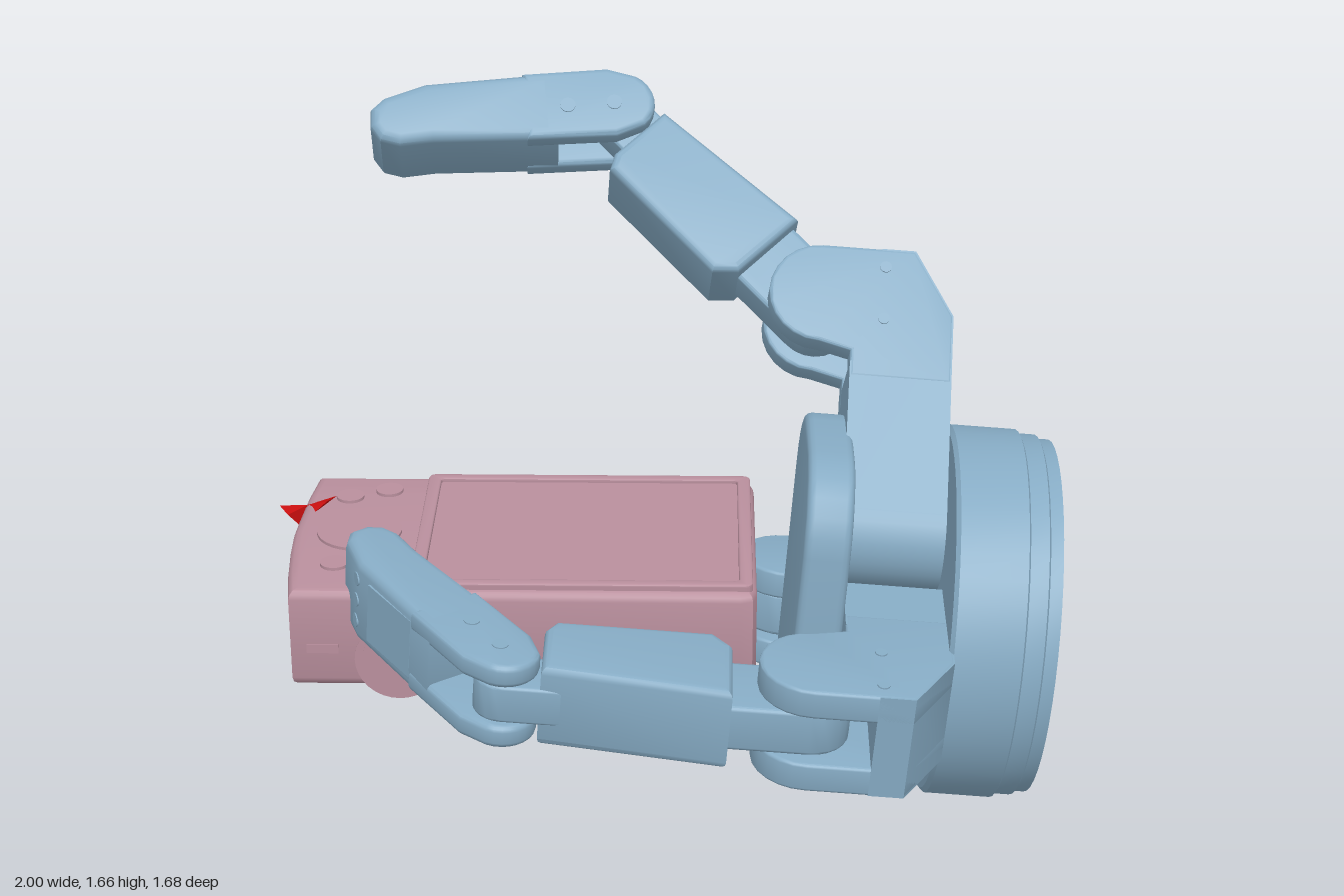
import * as THREE from 'three';
import { toCreasedNormals } from 'three/addons/utils/BufferGeometryUtils.js';
import { ConvexGeometry } from 'three/addons/geometries/ConvexGeometry.js';

const blue = new THREE.MeshStandardMaterial({ color: 0x86abc4 });
const pink = new THREE.MeshStandardMaterial({ color: 0xb98f9d });
const red = new THREE.MeshStandardMaterial({ color: 0xd01010 });
const rad = THREE.MathUtils.degToRad;

function add(parent, name, geometry, material, x = 0, y = 0, z = 0) {
  const mesh = new THREE.Mesh(geometry, material);
  mesh.name = name;
  mesh.position.set(x, y, z);
  parent.add(mesh);
  return mesh;
}

function group(parent, name, x = 0, y = 0, z = 0) {
  const g = new THREE.Group();
  g.name = name;
  g.position.set(x, y, z);
  parent.add(g);
  return g;
}

// Outline in xy, extruded to a total width centred on z, with rounded edges
function slab(points, width, bevel, hole) {
  const shape = new THREE.Shape(points.map(([x, y]) => new THREE.Vector2(x, y)));
  if (hole) shape.holes.push(new THREE.Path(hole.map(([x, y]) => new THREE.Vector2(x, y))));
  const geo = new THREE.ExtrudeGeometry(shape, {
    depth: width - 2 * bevel, bevelEnabled: bevel > 0, bevelThickness: bevel,
    bevelSize: bevel, bevelOffset: -bevel, bevelSegments: 3,
  });
  geo.translate(0, 0, -width / 2 + bevel);
  return toCreasedNormals(geo, 0.6);
}

function arc(cx, cy, r, from, to, n = 12) {
  return Array.from({ length: n + 1 }, (_, i) => {
    const a = rad(from + (to - from) * i / n);
    return [cx + r * Math.cos(a), cy + r * Math.sin(a)];
  });
}

function roundedRect(x0, y0, x1, y1, r) {
  return [...arc(x1 - r, y0 + r, r, -90, 0, 6), ...arc(x1 - r, y1 - r, r, 0, 90, 6),
    ...arc(x0 + r, y1 - r, r, 90, 180, 6), ...arc(x0 + r, y0 + r, r, 180, 270, 6)];
}

// Bar with round ends from x = -len to x = 0
const capsule = (len, r) => [...arc(0, 0, r, -90, 90), ...arc(-len, 0, r, 90, 270)];

// One finger: y runs outward from the palm axis, -x points forward, z is its width
function addFinger(hand, name, { x, y, z, turn, bend, pivot }) {
  const finger = group(hand, name, x, y, z);
  finger.rotation.x = rad(turn);

  // Base: leg, forked knuckle housing and rounded or square root
  const start = pivot ? -0.05 : 0.15;
  if (pivot) {
    const root = add(finger, 'basePivot', new THREE.CylinderGeometry(0.14, 0.14, 0.255, 32), blue, 0.2075, start, 0);
    root.rotation.z = Math.PI / 2;
    const plug = add(finger, 'basePlug', new THREE.CylinderGeometry(0.065, 0.065, 0.008, 24), blue, 0.285, 0.565, 0);
    plug.rotation.z = -rad(59.5);
    plug.scale.z = 0.55;
  }
  add(finger, 'baseCore', slab([[0.08, start], [0.335, start], [0.335, 0.48], [0.235, 0.65],
    [0.15, 0.65], [0.15, 0.39], [0.08, 0.34]], 0.279, 0), blue);
  const cheek = [[0.08, 0.3], [0.335, 0.3], [0.335, 0.48], [0.235, 0.65], ...arc(0, 0.52, 0.13, 90, 270), [0.08, 0.37]];
  for (const s of [-1, 1]) {
    add(finger, 'baseCheek', slab(cheek, 0.075, 0.008), blue, 0, 0, s * 0.103);
    for (const [sx, sy] of [[0.16, 0.6], [0.16, 0.46]])
      add(finger, 'baseScrew', new THREE.CylinderGeometry(0.015, 0.015, 0.006, 12), blue, sx, sy, s * 0.141).rotation.x = Math.PI / 2;
  }

  // Middle link with a narrow tongue at each joint
  const middle = group(finger, 'middleLink', 0, 0.52, 0);
  middle.rotation.z = -rad(bend);
  add(middle, 'middleBody', slab([[-0.19, -0.1], [-0.235, -0.15], [-0.615, -0.15], [-0.64, -0.11],
    [-0.64, 0.065], [-0.19, 0.11]], 0.22, 0.02), blue);
  add(middle, 'knuckleTongue', slab(capsule(0.25, 0.1), 0.12, 0.01), blue);
  add(middle, 'tipTongue', slab(capsule(0.15, 0.07), 0.1, 0.008), blue, -0.58, 0, 0);

  // Fingertip with fork, tapered body, back plate and screws
  const tip = group(middle, 'fingertip', -0.73, 0, 0);
  tip.rotation.z = rad(52);
  add(tip, 'fingertipBody', slab([[-0.17, -0.085], [-0.49, -0.07], [-0.575, -0.075], [-0.625, -0.058],
    [-0.648, -0.02], [-0.645, 0.03], [-0.61, 0.06], [-0.5, 0.092], [-0.17, 0.1]], 0.23, 0.025), blue);
  const fork = [[-0.25, -0.085], [-0.02, -0.09], ...arc(0, 0, 0.085, -50, 60, 8), [-0.03, 0.1], [-0.25, 0.1]];
  for (const s of [-1, 1]) {
    add(tip, 'fingertipCheek', slab(fork, 0.06, 0.015), blue, 0, 0, s * 0.085);
    for (const f of [0.02, 0.14])
      add(tip, 'fingertipSideScrew', new THREE.CylinderGeometry(0.02, 0.02, 0.008, 14), blue, -f, 0, s * 0.114).rotation.x = Math.PI / 2;
  }
  add(tip, 'fingertipBackPlate', new THREE.BoxGeometry(0.19, 0.01, 0.16), blue, -0.35, 0.094, 0);
  for (const w of [-0.06, 0, 0.06])
    add(tip, 'fingertipScrew', new THREE.CylinderGeometry(0.018, 0.018, 0.012, 12), blue, -0.51, 0.086, w).rotation.z = 0.27;
}

function addHand(root) {
  const hand = group(root, 'gripper', 0.38, 0.5, 0.18);
  hand.rotation.z = -0.075;

  // Stepped wrist disk
  const profile = [[0, 0.325], [0.455, 0.325], [0.466, 0.335], [0.466, 0.5], [0.456, 0.505], [0.456, 0.55],
    [0.446, 0.555], [0.446, 0.586], [0, 0.586]].map(([r, h]) => new THREE.Vector2(r, h));
  const disk = add(hand, 'wristDisk', toCreasedNormals(new THREE.LatheGeometry(profile, 48), 0.4), blue);
  disk.rotation.z = -Math.PI / 2;

  // Rounded palm plate and the hub block behind it
  const palm = add(hand, 'palmPlate', slab(roundedRect(-0.29, -0.46, 0.29, 0.46, 0.2), 0.115, 0.02), blue, 0.022, 0, 0.01);
  palm.rotation.y = Math.PI / 2;
  add(hand, 'hubBlock', new THREE.BoxGeometry(0.26, 0.34, 0.45), blue, 0.205, -0.13, -0.205);

  addFinger(hand, 'frontFinger', { x: 0, y: 0.006, z: 0, turn: 94, bend: 0, pivot: false });
  addFinger(hand, 'upperFinger', { x: -0.018, y: 0.26, z: 0, turn: -45, bend: 43, pivot: true });
  addFinger(hand, 'lowerFinger', { x: -0.01, y: -0.28, z: -0.03, turn: -92.5, bend: 32, pivot: true });
}

function addCamera(root) {
  const cam = group(root, 'compactCamera');
  // Body lies with its screen up and its lens down; outlines are drawn as x, -z
  const flat = (name, geo, y) => { add(cam, name, geo, pink, 0, y, 0).rotation.x = -Math.PI / 2; };
  flat('cameraBody', slab([[-0.91, -0.3], [0.22, -0.3], [0.25, -0.29], [0.26, -0.26], [0.26, 0.33], [0.25, 0.36], [0.22, 0.37],
    [-0.91, 0.37], [-0.925, 0.25], [-0.935, 0.1], [-0.938, 0.035], [-0.935, -0.05], [-0.925, -0.18]], 0.27, 0.025), 0.435);
  flat('screenFrame', slab(roundedRect(-0.61, -0.28, 0.25, 0.355, 0.02), 0.025, 0.006,
    roundedRect(-0.575, -0.25, 0.215, 0.325, 0.01)), 0.573);
  add(cam, 'screen', new THREE.BoxGeometry(0.8, 0.012, 0.585), pink, -0.18, 0.569, -0.0375);

  // Dial and buttons beside the screen
  for (const [x, z, r] of [[-0.765, -0.035, 0.11], [-0.81, -0.235, 0.036], [-0.71, -0.275, 0.036], [-0.81, 0.15, 0.036], [-0.71, 0.19, 0.036]])
    add(cam, 'button', new THREE.CylinderGeometry(r, r, 0.016, 32), pink, x, 0.57, z);

  // Shutter dial, power button and slot on the narrow side
  for (const [x, y, r, d] of [[-0.64, 0.38, 0.11, 0.008], [-0.64, 0.38, 0.092, 0.014], [-0.35, 0.375, 0.05, 0.026]])
    add(cam, 'sideButton', new THREE.CylinderGeometry(r, r, d, 32), pink, x, y, 0.3).rotation.x = Math.PI / 2;
  add(cam, 'sideSlot', new THREE.BoxGeometry(0.08, 0.025, 0.006), pink, -0.83, 0.41, 0.3);

  // Stepped lens barrel with a recessed front
  const profile = [[0, 0.13], [0.1, 0.13], [0.115, 0.1], [0.2, 0.1], [0.212, 0.112], [0.212, 0.19], [0.222, 0.195],
    [0.222, 0.235], [0.24, 0.24], [0.24, 0.275], [0.25, 0.28], [0.25, 0.31]].map(([r, h]) => new THREE.Vector2(r, h));
  add(cam, 'lensBarrel', toCreasedNormals(new THREE.LatheGeometry(profile, 48), 0.4), pink, -0.135, 0, -0.04);
  flat('lensWindow', slab(roundedRect(-0.2, 0, -0.07, 0.08, 0.01), 0.02, 0.004,
    roundedRect(-0.18, 0.015, -0.09, 0.065, 0.008)), 0.122);
}

// Two small pointed pieces that meet at a corner of the camera
function addMarker(root) {
  const marker = group(root, 'redMarker');
  const tip = [-0.92, 0.565, -0.2];
  for (const corners of [
    [[-1, 0.545, -0.235], [-0.97, 0.55, -0.17], [-0.935, 0.495, -0.2]],
    [[-0.845, 0.58, -0.225], [-0.9, 0.565, -0.145], [-0.865, 0.592, -0.165]],
  ]) add(marker, 'markerPoint', new ConvexGeometry([tip, ...corners].map((p) => new THREE.Vector3(...p))), red);
}

export function createModel() {
  const model = new THREE.Group();
  model.name = 'gripperHoldingCamera';
  addHand(model);
  addCamera(model);
  addMarker(model);
  return model;
}
